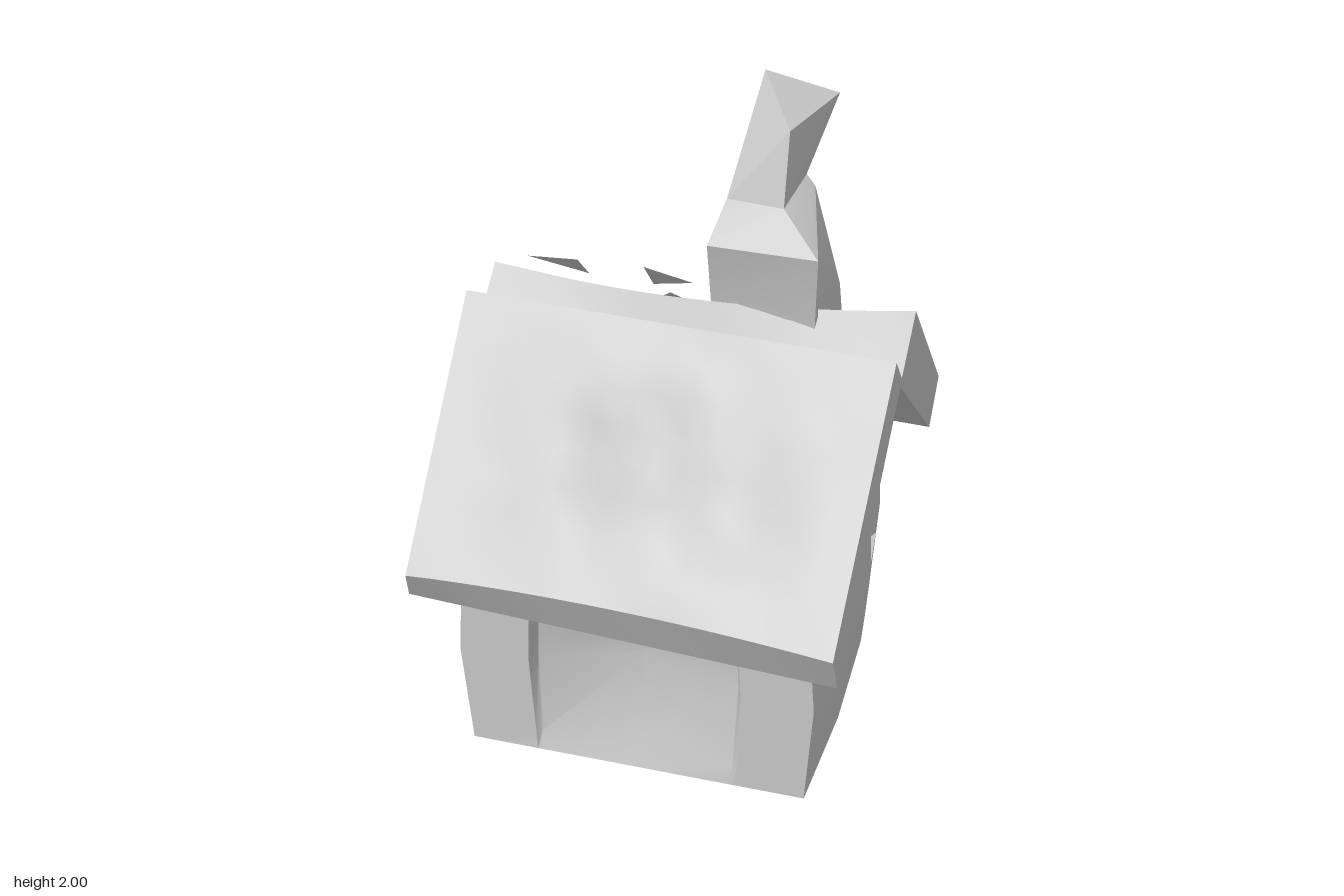
import * as THREE from 'three';
import { toCreasedNormals } from 'three/addons/utils/BufferGeometryUtils.js';

const clay = new THREE.MeshStandardMaterial({ color: 0xc8c8c8 });
clay.name = 'grey clay';
clay.side = THREE.DoubleSide;

const V = (x, y, z) => new THREE.Vector3(x, y, z);

// Skin a row of closed rings; the ends are closed with fans unless turned off.
function loft(rings, capStart = true, capEnd = true, crease = 0.6) {
  const n = rings[0].length, index = [];
  for (let i = 0; i < rings.length - 1; i++) {
    for (let j = 0; j < n; j++) {
      const a = i * n + j, b = i * n + ((j + 1) % n), c = b + n, d = a + n;
      index.push(a, b, c, a, c, d);
    }
  }
  const last = (rings.length - 1) * n;
  for (let j = 1; j < n - 1; j++) {
    if (capStart) index.push(0, j + 1, j);
    if (capEnd) index.push(last, last + j, last + j + 1);
  }
  const g = new THREE.BufferGeometry().setFromPoints(rings.flat());
  g.setIndex(index);
  return toCreasedNormals(g, crease);
}

function part(name, geometry, parent) {
  const m = new THREE.Mesh(geometry, clay);
  m.name = name;
  parent.add(m);
}

// Wall corners on the ground as (x, z)
const FL = [-0.56, 0.557], FR = [0.523, 0.49], BR = [0.49, -0.575], BL = [-0.571, -0.5];

// Points along one wall; each stop is [fraction, depth pushed inwards]
function wallLine(a, b, y, s, stops) {
  const dx = b[0] - a[0], dz = b[1] - a[1], len = Math.hypot(dx, dz);
  return stops.map(([t, d]) => V(
    (a[0] + dx * t) * s + (dz / len) * d, y,
    a[1] + dz * t - (dx / len) * d));
}

// [height, width scale, panel edge depth, panel centre depth, door half width, door depth, notch depth]
const levels = [
  [0, 1, 0, 0, 0.17, 0, 0],
  [0.07, 1.005, 0.015, 0.03, 0.18, 0.07, 0],
  [0.37, 1.03, 0.045, 0.125, 0.21, 0.08, 0],
  [0.38, 1.03, 0.045, 0.125, 0.21, 0.08, 0.07],
  [0.5, 1.01, 0.045, 0.1, 0.15, 0.07, 0],
  [0.67, 0.98, 0.03, 0.04, 0.01, 0, 0],
  [0.78, 0.96, 0.02, 0.03, 0.01, 0, 0],
];

// Dented panels front and back, bowed side walls with a notch and a door
function wallRing([y, s, edge, mid, w, door, notch]) {
  const panel = [[0, 0], [0.2, 0], [0.215, edge], [0.5, mid], [0.785, edge], [0.8, 0]];
  const bow = -0.03;
  return [
    ...wallLine(FL, FR, y, s, panel),
    ...wallLine(FR, BR, y, s, [[0, 0], [0.35, bow], [0.7, bow], [0.71, notch + bow], [0.835, bow * 0.6]]),
    ...wallLine(BR, BL, y, s, panel),
    ...wallLine(BL, FL, y, s, [[0, 0], [0.46 - w, bow], [0.465 - w, door + bow], [0.455 + w, door + bow], [0.46 + w, bow]]),
  ];
}

// One roof slab swept along x; leftShift skews the points of its left end
function slab(profileAt, leftShift, segments = 14) {
  const rings = [];
  for (let i = 0; i <= segments; i++) {
    const t = (i / segments) * 2 - 1;
    rings.push(profileAt(t).map(([z, y]) => V(t * 0.638 + (i > 0 ? 0 : leftShift(z, y)), y, z)));
  }
  return loft(rings);
}

// Sloping top surface between two [z, y] points with soft dents and an overall bulge
function slope(from, to, t, dent, bulge, rows = 8) {
  const out = [];
  for (let j = 0; j <= rows; j++) {
    const k = j / rows;
    const fade = Math.sin(Math.PI * k) * (1 - t * t);
    const bump = fade * (dent * Math.sin(t * 5 + k * 4) * Math.cos(k * 7 - t * 2) + bulge);
    out.push([
      from[0] + (to[0] - from[0]) * k + bump * Math.sign(from[0] + to[0]),
      from[1] + (to[1] - from[1]) * k + bump]);
  }
  return out;
}

export function createModel() {
  const model = new THREE.Group();
  model.name = 'crookedCottage';
  const house = new THREE.Group();
  house.name = 'house';
  house.rotation.y = 0.228;
  model.add(house);

  // Walls
  const rings = levels.map(wallRing);
  part('walls', loft(rings, false, false), house);

  // Floor with a square opening
  const floor = new THREE.Shape(rings[0].map((p) => new THREE.Vector2(p.x, p.z)));
  const h = 0.27;
  floor.holes.push(new THREE.Path([[-h, -h], [h, -h], [h, h], [-h, h]].map(([x, z]) => new THREE.Vector2(x, z))));
  part('floor', new THREE.ShapeGeometry(floor).rotateX(Math.PI / 2), house);

  // Shallow hollow above the opening, faces turned inwards
  const hollow = [0, 0.13].map((y) => [V(-h, y, h), V(-h, y, -h), V(h, y, -h), V(h, y, h)]);
  part('hollow', loft(hollow, false, true), house);

  // Gable ends, following the bowed side walls up to the ridge
  part('gables', loft([
    [V(-0.55, 0.77, -0.5), V(-0.565, 1.285, 0), V(-0.54, 0.77, 0.55), V(-0.573, 0.77, 0)],
    [V(0.472, 0.77, -0.57), V(0.515, 1.285, 0), V(0.503, 0.77, 0.49), V(0.517, 0.77, 0)],
  ]), house);

  // Front roof slab with a wavy eave
  part('frontRoof', slab((t) => {
    const eaveY = 0.825 + 0.01 * t + 0.03 * (1 - t * t);
    return [[0.005, 1.28], ...slope([0.125, 1.41], [0.75, eaveY], t, 0.05, -0.015), [0.66, 0.66]];
  }, (z, y) => (y < 0.7 ? -0.035 : -0.033 + 0.061 * z)), house);

  // Back roof slab, its ridge bowing forward in the middle
  part('backRoof', slab((t) => {
    const ridge = [-0.12 - 0.02 * t + 0.08 * (1 - t * t), 1.405 + 0.02 * t];
    return [[0.03, 1.27], [-0.655, 0.67], ...slope([-0.762, 0.81], ridge, t, 0.012, 0.02)];
  }, (z) => (z < -0.7 ? 0.013 : -0.032)), house);

  // Crooked chimney
  const chimney = [
    [V(0.05, 1.15, -0.1), V(0.33, 1.15, -0.15), V(0.33, 1.15, -0.37), V(0.03, 1.15, -0.36)],
    [V(0.03, 1.4, -0.06), V(0.345, 1.4, -0.12), V(0.31, 1.4, -0.35), V(0.02, 1.42, -0.34)],
    [V(0.05, 1.62, 0), V(0.36, 1.615, -0.09), V(0.23, 1.72, -0.315), V(0.03, 1.68, -0.27)],
    [V(0.04, 1.71, -0.13), V(0.22, 1.72, -0.14), V(0.2, 1.75, -0.315), V(0.03, 1.715, -0.27)],
    [V(0.01, 2, -0.4), V(0.2, 1.93, -0.2), V(0.2, 1.93, -0.51), V(0.04, 1.81, -0.46)],
  ];
  part('chimney', loft(chimney, true, true, 0.35), model);

  // Loose triangular shingles floating above the back slope, corners as (x, z)
  const shingles = [
    [[-0.38, -0.4], [-0.27, -0.32], [-0.21, -0.48]],
    [[-0.29, -0.25], [-0.23, -0.1], [-0.12, -0.21]],
    [[-0.65, -0.08], [-0.46, -0.08], [-0.5, -0.2]],
  ];
  for (const tri of shingles) {
    const g = new THREE.BufferGeometry().setFromPoints(tri.map(([x, z]) => {
      const depth = x * 0.226 + z * 0.974;
      return V(x, 1.5625 + depth * 0.95, z);
    }));
    g.computeVertexNormals();
    part('shingle', g, model);
  }
  return model;
}
